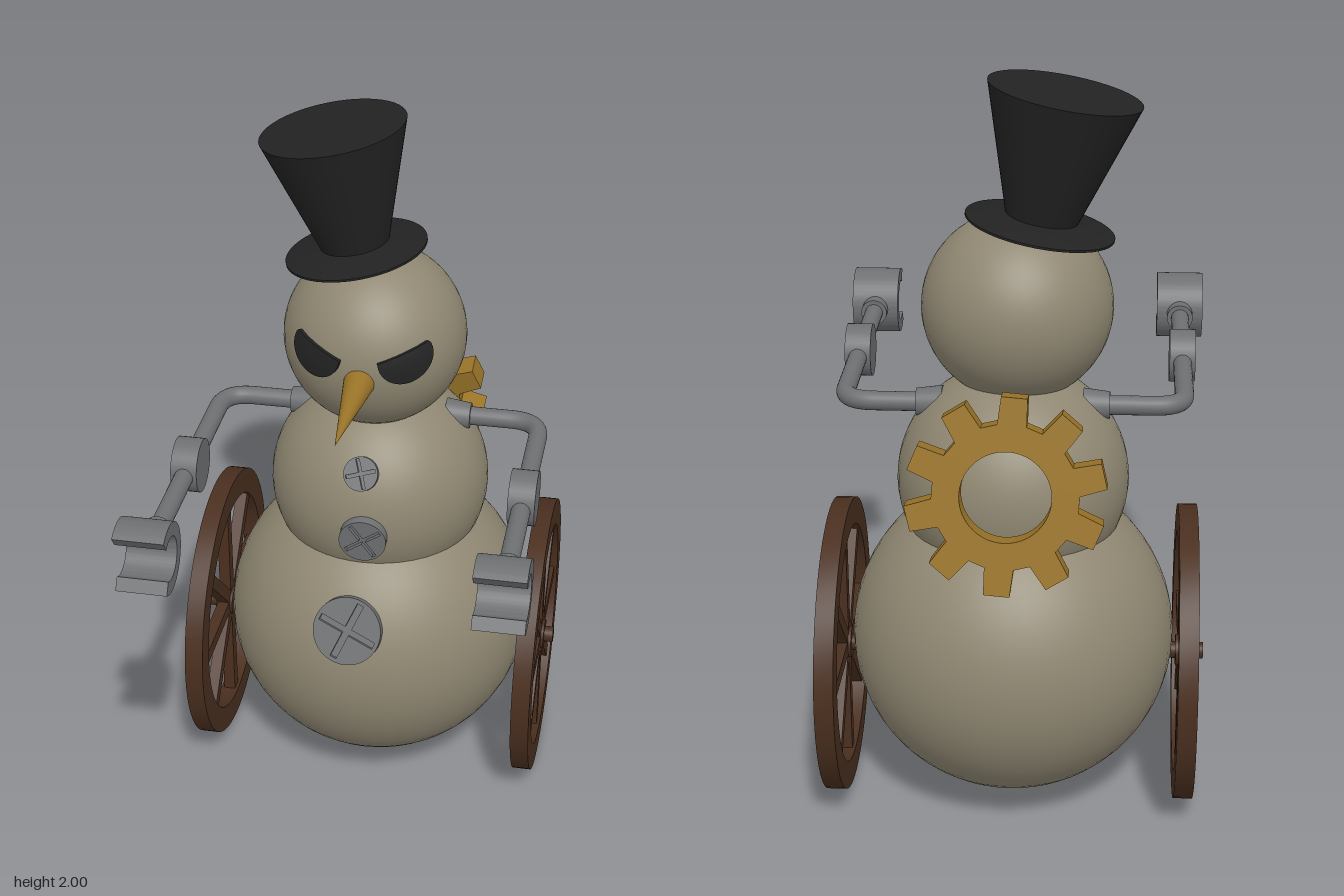
import * as THREE from 'three';
import { toCreasedNormals } from 'three/addons/utils/BufferGeometryUtils.js';

const V = (x, y, z) => new THREE.Vector3(x, y, z);
const mat = (color) => new THREE.MeshStandardMaterial({ color });
const snow = mat(0x8f8772), wood = mat(0x4a2f1f), steel = mat(0x6f7072);
const black = mat(0x222222), brass = mat(0x9a7428);

function add(parent, name, geometry, material, x = 0, y = 0, z = 0) {
  const mesh = new THREE.Mesh(geometry, material);
  mesh.name = name;
  mesh.position.set(x, y, z);
  parent.add(mesh);
  return mesh;
}

function addGroup(parent, name, x = 0, y = 0, z = 0) {
  const group = new THREE.Group();
  group.name = name;
  group.position.set(x, y, z);
  parent.add(group);
  return group;
}

// Extrusion centred on its depth, with smooth curves and sharp edges
function plate(shape, depth) {
  const g = new THREE.ExtrudeGeometry(shape, { depth, bevelEnabled: false, curveSegments: 32 });
  return toCreasedNormals(g.translate(0, 0, -depth / 2), 0.5);
}

function ringShape(outer, inner) {
  const shape = new THREE.Shape().absarc(0, 0, outer, 0, Math.PI * 2);
  shape.holes.push(new THREE.Path().absarc(0, 0, inner, 0, Math.PI * 2, true));
  return shape;
}

// Cylinder lying along x
const rod = (r0, r1, length) => new THREE.CylinderGeometry(r0, r1, length, 32).rotateZ(-Math.PI / 2);

// Slotted screw head facing outward from a ball
function addButton(parent, ball, x, y, r, lift, spin) {
  const dx = x - ball.x, dy = y - ball.y;
  const normal = V(dx, dy, Math.sqrt(ball.r ** 2 - dx * dx - dy * dy)).normalize();
  const p = normal.clone().multiplyScalar(ball.r + lift).add(V(ball.x, ball.y, ball.z));
  const button = addGroup(parent, 'button', p.x, p.y, p.z);
  button.quaternion.setFromUnitVectors(V(0, 0, 1), normal);
  const face = new THREE.Shape().absarc(0, 0, r, 0, Math.PI * 2);
  const a = r * 0.88, b = r * 0.1;
  const cross = [[a, b], [b, b], [b, a], [-b, a], [-b, b], [-a, b], [-a, -b], [-b, -b], [-b, -a], [b, -a], [b, -b], [a, -b]];
  face.holes.push(new THREE.Path(cross.map(([u, v]) => new THREE.Vector2(u, v))));
  add(button, 'buttonFace', plate(face, 0.012), steel, 0, 0, -0.006).rotation.z = spin;
  add(button, 'buttonBase', new THREE.CylinderGeometry(r, r, 0.03, 40).rotateX(Math.PI / 2), steel, 0, 0, -0.027);
}

// Half-closed eye: a disc cut by a slanted brow line and wrapped on the head
function eyeGeometry(side, head) {
  const r = 0.066, t = 0.012, profile = [];
  for (let i = 0; i <= 8; i++) profile.push(new THREE.Vector2(r * (1 - i / 8), t));
  profile.unshift(new THREE.Vector2(r, -0.01));
  const g = new THREE.LatheGeometry(profile, 40).rotateX(Math.PI / 2);
  const p = g.attributes.position;
  for (let i = 0; i < p.count; i++) {
    const x = p.getX(i), y = Math.min(p.getY(i), 0.017 + side * 0.35 * x);
    const hx = x + side * 0.115, hy = y + 0.045;
    const k = 1 + p.getZ(i) / head.r;
    p.setXYZ(i, hx * k, hy * k, Math.sqrt(head.r ** 2 - hx * hx - hy * hy) * k);
  }
  g.computeVertexNormals();
  return toCreasedNormals(g, 0.7);
}

function addWheel(parent, side) {
  const wheel = addGroup(parent, side > 0 ? 'leftWheel' : 'rightWheel', side * 0.474, 0.405, -0.225);
  add(wheel, 'rim', plate(ringShape(0.405, 0.33), 0.052).rotateY(Math.PI / 2), wood);
  for (let i = 0; i < 8; i++) {
    const spoke = new THREE.BoxGeometry(0.034, 0.31, 0.038).translate(0, 0.185, 0);
    add(wheel, 'spoke', spoke, wood).rotation.x = i * Math.PI / 4;
  }
  add(wheel, 'hub', rod(0.043, 0.043, 0.05), wood);
  add(wheel, 'axle', rod(0.023, 0.023, 0.13), wood, -side * 0.014);
}

function addArm(parent, side) {
  const arm = addGroup(parent, side > 0 ? 'leftArm' : 'rightArm', 0, 1.13, 0);
  const x = side * 0.455, z = -0.23;
  add(arm, 'shoulderSocket', side > 0 ? rod(0.036, 0.045, 0.07) : rod(0.045, 0.036, 0.07), steel, side * 0.222, 0, z);
  // Upper arm bends forward into the forearm
  const path = new THREE.CurvePath();
  path.add(new THREE.LineCurve3(V(side * 0.22, 0, z), V(side * 0.37, 0, z)));
  path.add(new THREE.QuadraticBezierCurve3(V(side * 0.37, 0, z), V(x, 0, z), V(x, 0, z + 0.085)));
  path.add(new THREE.LineCurve3(V(x, 0, z + 0.085), V(x, 0, 0.52)));
  add(arm, 'armTube', new THREE.TubeGeometry(path, 80, 0.026, 20), steel);
  add(arm, 'elbow', rod(0.074, 0.074, 0.072), steel, x, 0, 0.167);
  add(arm, 'wristCollar', new THREE.CylinderGeometry(0.038, 0.038, 0.05, 32).rotateX(Math.PI / 2), steel, x, 0, 0.515);
  // C-shaped claw open to the front
  const gap = 0.96, jaw = new THREE.Shape();
  jaw.absarc(0, 0, 0.096, gap, Math.PI * 2 - gap);
  jaw.absarc(0, 0, 0.059, Math.PI * 2 - gap, gap, true);
  add(arm, 'claw', plate(jaw, 0.135).rotateY(-Math.PI / 2), steel, x, 0, 0.618);
}

// Wind-up gear with ten square teeth
function gearGeometry() {
  const teeth = 10, root = 0.188, tip = 0.258, pts = [];
  for (let i = 0; i < teeth; i++) {
    const a = Math.PI / 2 + 0.08 + i * Math.PI * 2 / teeth;
    for (const [r, d] of [[root, -0.2], [tip, -0.13], [tip, 0.13], [root, 0.2]]) {
      pts.push(new THREE.Vector2(r * Math.cos(a + d), r * Math.sin(a + d)));
    }
  }
  const shape = new THREE.Shape(pts);
  shape.holes.push(new THREE.Path().absarc(0, 0, 0.117, 0, Math.PI * 2, true));
  return plate(shape, 0.073);
}

export function createModel() {
  const model = new THREE.Group();
  model.name = 'mechanicalSnowman';

  // Snowballs
  const body = { x: 0, y: 0.463, z: -0.225, r: 0.44 };
  const chest = { x: 0, y: 0.92, z: -0.22, r: 0.311 };
  const head = { x: -0.01, y: 1.392, z: -0.19, r: 0.253 };
  for (const [name, b] of Object.entries({ body, chest, head })) {
    add(model, name, new THREE.SphereGeometry(b.r, 48, 32), snow, b.x, b.y, b.z);
  }

  // Face
  add(model, 'leftEye', eyeGeometry(1, head), black, head.x, head.y, head.z);
  add(model, 'rightEye', eyeGeometry(-1, head), black, head.x, head.y, head.z);
  add(model, 'nose', new THREE.ConeGeometry(0.044, 0.345, 32).rotateX(Math.PI / 2), brass, -0.01, 1.366, 0.212);

  // Buttons
  addButton(model, body, -0.02, 0.638, 0.097, 0.014, -0.4);
  addButton(model, chest, 0.008, 0.897, 0.066, 0.02, 0.6);
  addButton(model, chest, -0.005, 1.077, 0.048, 0.014, 0.3);

  // Tilted top hat
  const hat = addGroup(model, 'topHat', -0.07, 1.62, -0.228);
  hat.rotation.z = 0.18;
  const crown = new THREE.CylinderGeometry(0.2, 0.092, 0.34, 48);
  add(hat, 'hatCrown', crown, black, 0, 0.182, 0);
  const brim = [[0, 0.016], [0.1, 0.014], [0.196, -0.003], [0.196, 0.003], [0.1, 0.024], [0, 0.026]];
  const brimGeometry = new THREE.LatheGeometry(brim.map(([r, y]) => new THREE.Vector2(r, y)), 48);
  add(hat, 'hatBrim', toCreasedNormals(brimGeometry, 0.6), black);

  // Gear on the back
  add(model, 'gear', gearGeometry(), brass, 0, 1.006, -0.553).rotation.x = 0.21;

  for (const side of [1, -1]) {
    addWheel(model, side);
    addArm(model, side);
  }
  return model;
}
